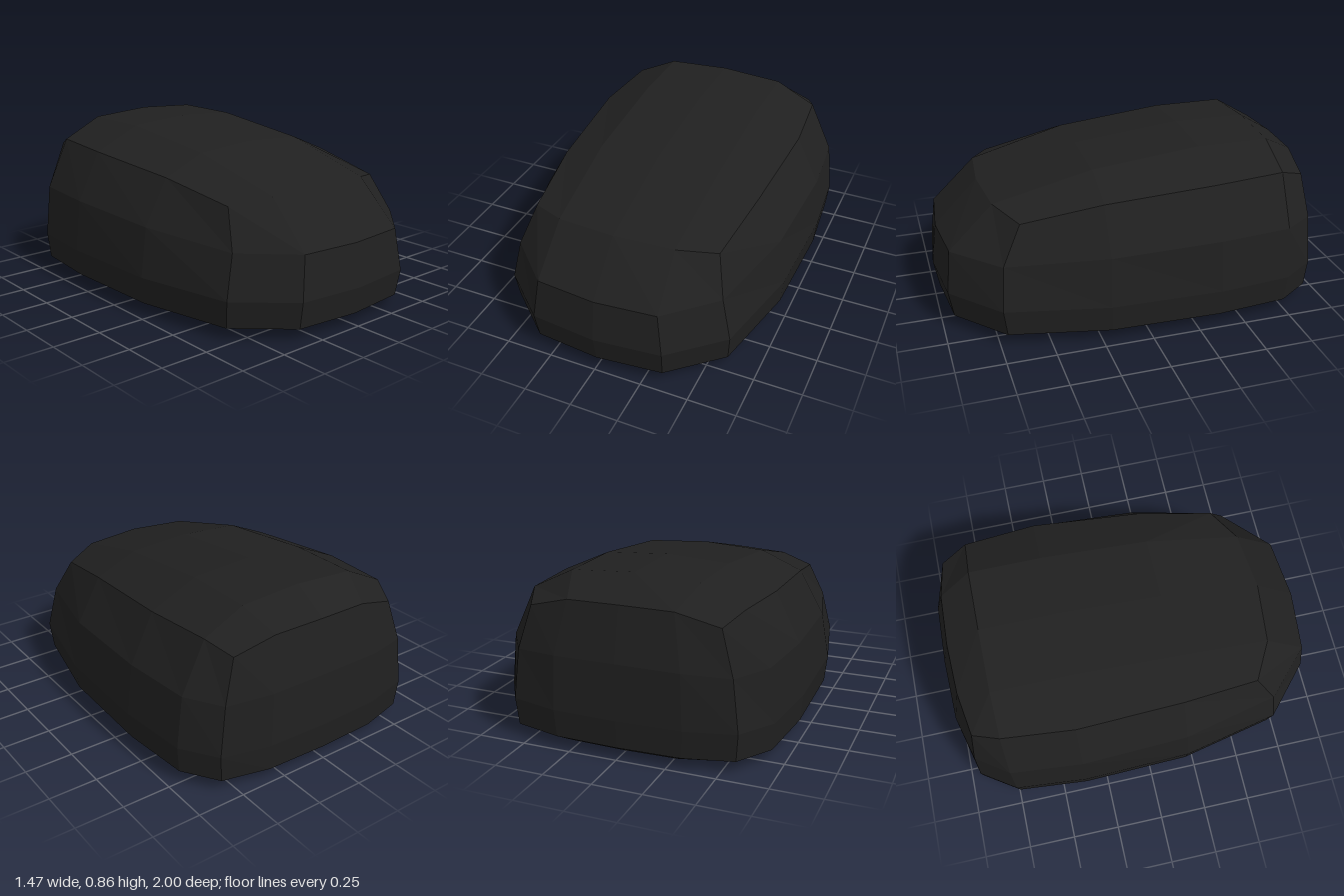
import * as THREE from 'three';

// Half outline seen from above: back centre, round the left side, to front centre [x, z]
const PLAN = [[0, -1], [0.33, -0.99], [0.58, -0.93], [0.7, -0.75], [0.735, -0.37],
  [0.72, 0.21], [0.61, 0.73], [0.35, 0.965], [0, 1]];

// Half outlines of the shoulder and of the top rim [x, y, z]
const SHOULDER = [[0, 0.48, -0.99], [0.32, 0.475, -0.98], [0.55, 0.46, -0.92], [0.67, 0.47, -0.75],
  [0.705, 0.47, -0.37], [0.68, 0.45, 0.2], [0.56, 0.42, 0.71], [0.32, 0.42, 0.94], [0, 0.42, 0.97]];
const RIM = [[0, 0.745, -0.93], [0.27, 0.74, -0.92], [0.485, 0.68, -0.89], [0.545, 0.73, -0.75],
  [0.58, 0.722, -0.37], [0.55, 0.68, 0.2], [0.5, 0.61, 0.61], [0.31, 0.645, 0.71], [0, 0.655, 0.74]];

// Close a half outline by mirroring it across x = 0
const mirror = (half) => [...half, ...half.slice(1, -1).reverse().map(([x, y, z]) => [-x, y, z])];

// Fill a ring with a 5 x 5 grid; heights give [mid, centre] for the three inner rows
function capRows(ring, heights) {
  const inner = heights.map(([mid, centre], i) => {
    const left = ring[3 + i], right = ring[13 - i], z = left[2];
    return [right, [-0.33, mid, z], [0, centre, z], [0.33, mid, z], left];
  });
  return [
    [14, 15, 0, 1, 2].map((k) => ring[k]),
    ...inner,
    [10, 9, 8, 7, 6].map((k) => ring[k]),
  ];
}

function bodyGeometry() {
  const pos = [];
  const quad = (a, b, c, d) => pos.push(...a, ...b, ...c, ...a, ...c, ...d);

  const rings = [
    PLAN.map(([x, z]) => [x * 0.835, 0.02, z * (z > 0 ? 0.76 : 0.925)]),
    PLAN.map(([x, z]) => [x * 0.98, 0.06, z * (z > 0 ? 0.975 : 0.99)]),
    PLAN.map(([x, z]) => [x, 0.2, z]),
    SHOULDER,
    RIM,
  ].map(mirror);

  // Side walls
  for (let r = 0; r < rings.length - 1; r++) {
    for (let i = 0; i < 16; i++) {
      const j = (i + 1) % 16;
      quad(rings[r][i], rings[r + 1][i], rings[r + 1][j], rings[r][j]);
    }
  }

  // Domed top and nearly flat underside
  const top = capRows(rings[4], [[0.835, 0.855], [0.835, 0.855], [0.775, 0.795]]);
  const base = capRows(rings[0], [[0.008, 0.004], [0.005, 0], [0.006, 0.002]]);
  for (let r = 0; r < 4; r++) {
    for (let c = 0; c < 4; c++) {
      quad(top[r][c], top[r + 1][c], top[r + 1][c + 1], top[r][c + 1]);
      quad(base[r][c], base[r][c + 1], base[r + 1][c + 1], base[r + 1][c]);
    }
  }

  const geometry = new THREE.BufferGeometry();
  geometry.setAttribute('position', new THREE.Float32BufferAttribute(pos, 3));
  geometry.computeVertexNormals();
  return geometry;
}

export function createModel() {
  const group = new THREE.Group();
  group.name = 'roundedShell';
  const material = new THREE.MeshStandardMaterial({ color: 0x202020, flatShading: true });
  const body = new THREE.Mesh(bodyGeometry(), material);
  body.name = 'body';
  group.add(body);
  return group;
}
